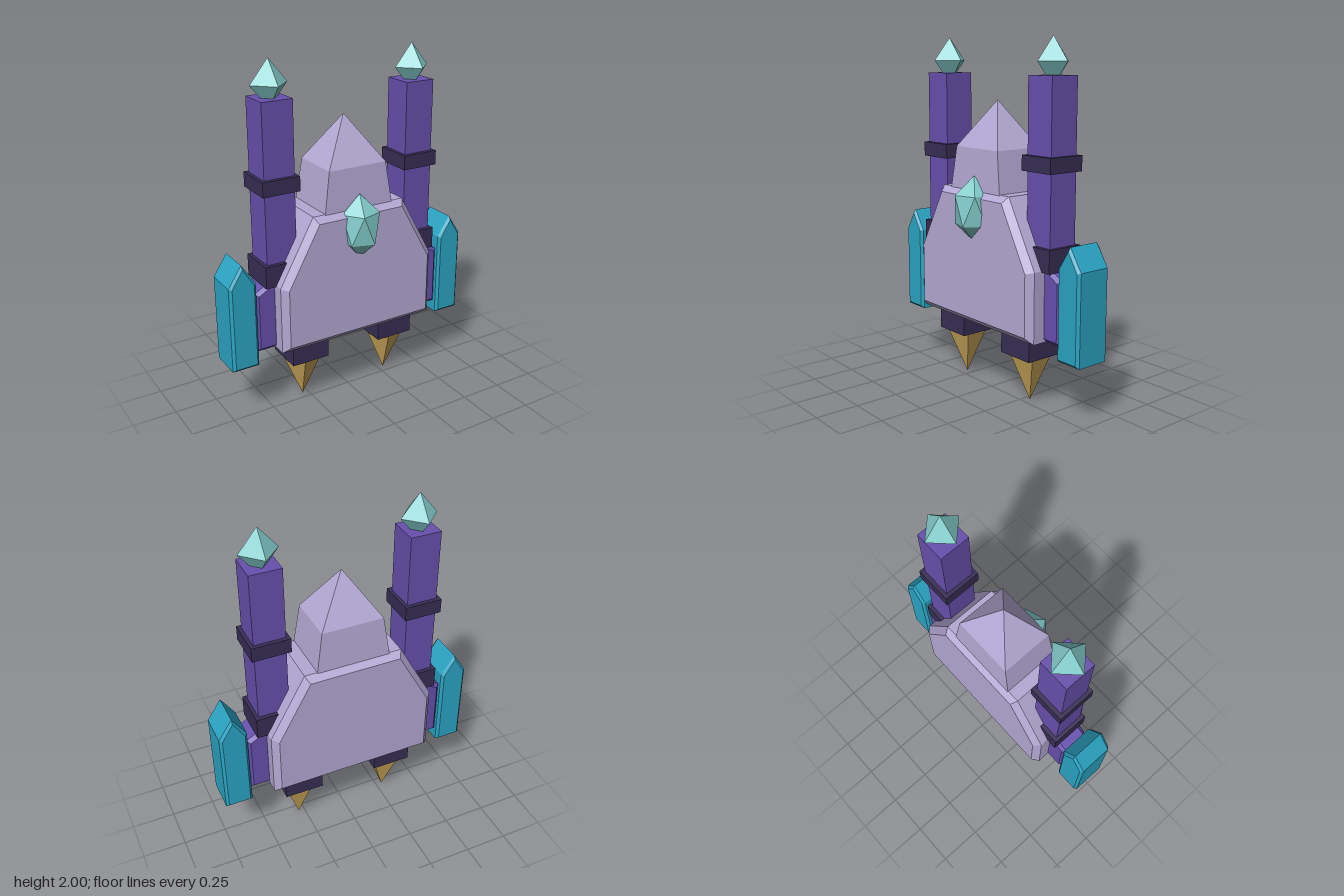
import * as THREE from 'three';

const Z = -0.045; // shared depth centre of the hull

function material(name, color) {
  const m = new THREE.MeshStandardMaterial({ color, flatShading: true });
  m.name = name;
  return m;
}

// Bevelled plate: outer outline in x/y, total depth, bevel width
function plate(points, depth, bevel) {
  const shape = new THREE.Shape(points.map(([x, y]) => new THREE.Vector2(x, y)));
  const geo = new THREE.ExtrudeGeometry(shape, {
    depth: depth - 2 * bevel, bevelEnabled: true, bevelSegments: 1,
    bevelSize: bevel, bevelThickness: bevel, bevelOffset: -bevel,
  });
  return geo.translate(0, 0, -depth / 2 + bevel);
}

// House-shaped outline with a pointed top
function pointed(halfWidth, bottom, shoulder, peak) {
  return [[-halfWidth, bottom], [halfWidth, bottom], [halfWidth, shoulder],
    [0, peak], [-halfWidth, shoulder]];
}

// Rectangular block from y0 to y1
function block(width, y0, y1, depth) {
  return new THREE.BoxGeometry(width, y1 - y0, depth).translate(0, (y0 + y1) / 2, 0);
}

// Four-sided spire: tapered lower section with a pyramid on top
function spire(rings, apexY) {
  const pos = [];
  const corners = ([hx, y, hz]) => [[-hx, y, hz], [hx, y, hz], [hx, y, -hz], [-hx, y, -hz]];
  const [low, high] = rings.map(corners);
  for (let i = 0; i < 4; i++) {
    const j = (i + 1) % 4;
    pos.push(...low[i], ...low[j], ...high[j], ...low[i], ...high[j], ...high[i]);
    pos.push(...high[i], ...high[j], 0, apexY, 0);
  }
  const geo = new THREE.BufferGeometry();
  geo.setAttribute('position', new THREE.Float32BufferAttribute(pos, 3));
  geo.computeVertexNormals();
  return geo;
}

export function createModel() {
  const group = new THREE.Group();
  group.name = 'crystalFortress';

  const lilac = material('lilac stone', 0xb4a9d4);
  const purple = material('purple stone', 0x6850ae);
  const dark = material('dark trim', 0x372e54);
  const teal = material('teal panel', 0x2ba5c4);
  const aqua = material('aqua crystal', 0x84cccc);
  const gold = material('gold spike', 0xd0ab5c);

  function add(name, geo, mat, x = 0, y = 0, z = Z) {
    const mesh = new THREE.Mesh(geo, mat);
    mesh.name = name;
    mesh.position.set(x, y, z);
    group.add(mesh);
    return mesh;
  }

  // Central hull and its spire
  add('body', plate([[-0.49, 0.41], [0.49, 0.41], [0.49, 0.8], [0.285, 1.17],
    [-0.285, 1.17], [-0.49, 0.8]], 0.39, 0.035), lilac);
  add('spire', spire([[0.215, 1.15, 0.165], [0.178, 1.4, 0.15]], 1.66), lilac);

  // Front gem: icosahedron standing on a vertex
  const gem = new THREE.IcosahedronGeometry(1, 0);
  gem.rotateX(-Math.atan((1 + Math.sqrt(5)) / 2)).rotateY(-Math.PI / 10);
  gem.scale(0.124, 0.186, 0.124);
  add('frontGem', gem, aqua, 0, 1.065, 0.123);

  for (const s of [-1, 1]) {
    const side = s > 0 ? 'left' : 'right';

    // Tower with trim bands and crystal tip
    const tx = s * 0.44;
    add(side + 'Tower', block(0.178, 0.7, 1.8, 0.178), purple, tx);
    add(side + 'LowerBand', block(0.218, 0.795, 0.92, 0.224), dark, tx);
    add(side + 'UpperBand', block(0.218, 1.31, 1.393, 0.224), dark, tx);
    add(side + 'TowerCrystal',
      new THREE.OctahedronGeometry(1, 0).scale(0.107, 0.13, 0.109), aqua, tx, 1.87);

    // Shoulder block and outer pod
    add(side + 'Shoulder', plate(pointed(0.165, 0.41, 0.76, 0.85), 0.178, 0.02), purple, tx);
    add(side + 'Pod', plate(pointed(0.079, 0.34, 0.84, 0.96), 0.218, 0.015), teal, s * 0.682);

    // Thruster mount and five-sided spike
    const mx = s * 0.286;
    add(side + 'Mount', block(0.23, 0.275, 0.45, 0.228), dark, mx);
    add(side + 'Spike', new THREE.ConeGeometry(0.118, 0.28, 5)
      .rotateX(Math.PI).rotateY(Math.PI / 2), gold, mx, 0.14);
  }

  return group;
}
